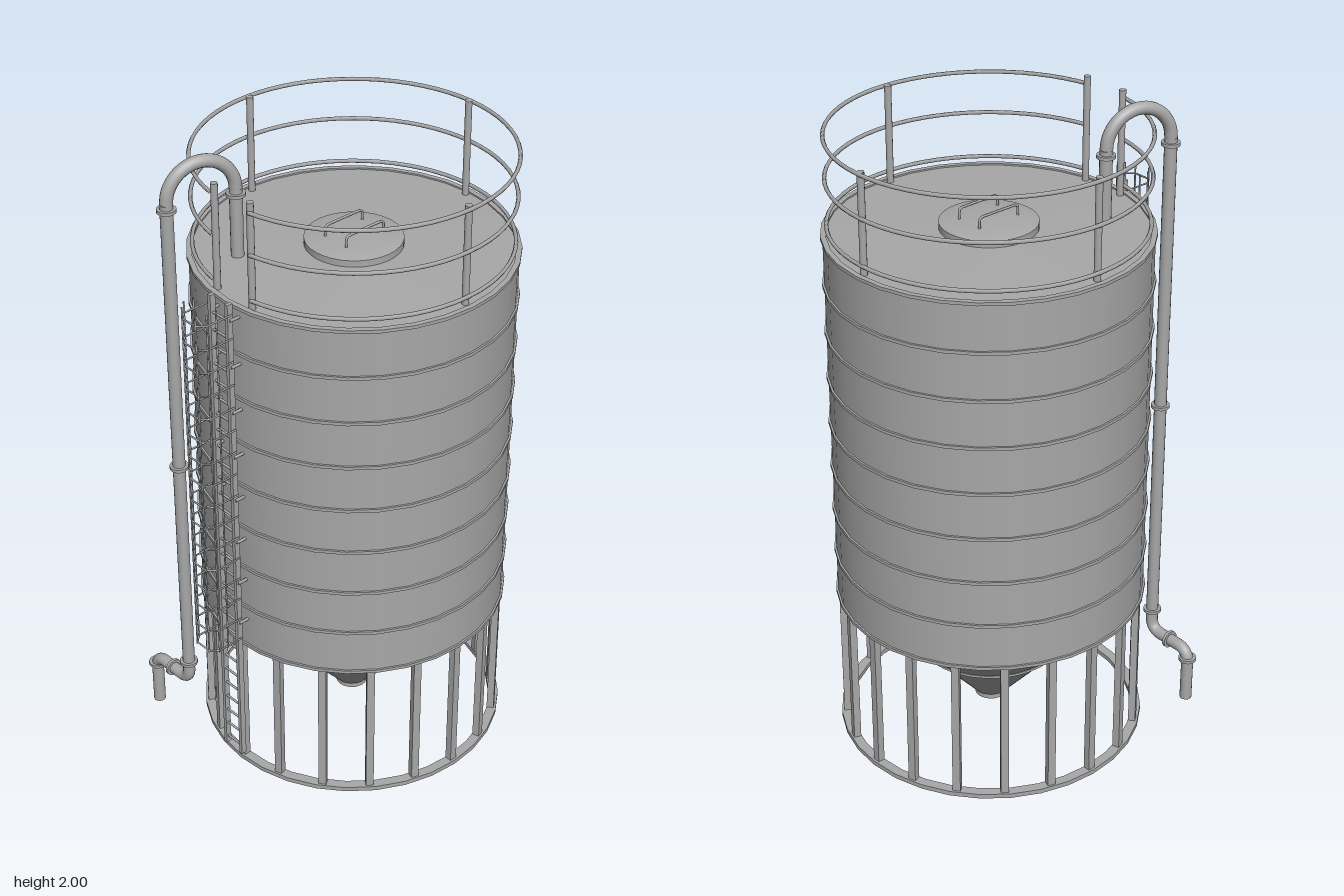
import * as THREE from 'three';

const CZ = -0.063; // tank axis
const R = 0.47;    // shell radius
const SIDES = 32;
const V = (x, y, z) => new THREE.Vector3(x, y, z);

export function createModel() {
  const model = new THREE.Group();
  const steel = new THREE.MeshStandardMaterial({ color: 0xa8a8a8 });
  steel.name = 'galvanised steel';

  const add = (name, geometry, parent = model) => {
    const mesh = new THREE.Mesh(geometry, steel);
    mesh.name = name;
    parent.add(mesh);
    return mesh;
  };
  const group = (name, z = 0) => {
    const g = new THREE.Group();
    g.name = name;
    g.position.z = z;
    model.add(g);
    return g;
  };
  const lathe = (pts, sides = SIDES) =>
    new THREE.LatheGeometry(pts.map(p => new THREE.Vector2(p[0], p[1])), sides);
  // Round bar between two points
  const rod = (name, a, b, r, parent, sides = 8) => {
    const mesh = add(name, new THREE.CylinderGeometry(r, r, a.distanceTo(b), sides), parent);
    mesh.position.copy(a).add(b).multiplyScalar(0.5);
    mesh.quaternion.setFromUnitVectors(V(0, 1, 0), b.clone().sub(a).normalize());
    return mesh;
  };
  // Horizontal hoop with a rectangular section
  const band = (name, y, inner, outer, h, parent) => add(name, lathe([
    [inner, y - h / 2], [outer, y - h / 2], [outer, y - h / 2], [outer, y + h / 2],
    [outer, y + h / 2], [inner, y + h / 2], [inner, y + h / 2], [inner, y - h / 2],
  ]), parent);

  // Tank: shell, shallow roof, hopper
  const tank = group('tank', CZ);
  add('shell', lathe([[R, 0.48], [R, 1.66]]), tank);
  add('roof', lathe([[R, 1.66], [0.14, 1.668], [0, 1.67]]), tank);
  add('shellBottomRim', lathe([[0.4, 0.482], [R, 0.482]]), tank);
  for (let i = 0; i <= 8; i++) {
    band('shellHoop', 0.48 + i * 0.1475, R - 0.01, R + 0.006, 0.01, tank);
  }
  add('hopperUpper', lathe([[0.225, 0.27], [0.432, 0.482]]), tank);
  add('hopperLower', lathe([[0.055, 0.075], [0.225, 0.27]]), tank);
  band('hopperSeam', 0.27, 0.215, 0.231, 0.008, tank);
  const outlet = add('hopperOutlet', new THREE.CylinderGeometry(0.05, 0.05, 0.03, 24), tank);
  outlet.position.y = 0.07;

  // Support frame: twenty legs on a base ring
  const frame = group('supportFrame', CZ);
  band('baseRing', 0.0075, 0.445, 0.475, 0.015, frame);
  for (let i = 0; i < 20; i++) {
    const a = i * Math.PI / 10;
    const leg = add('leg', new THREE.BoxGeometry(0.024, 0.475, 0.022), frame);
    leg.position.set(Math.sin(a) * 0.456, 0.2425, Math.cos(a) * 0.456);
    leg.rotation.y = a;
  }

  // Roof hatch with two grab handles
  const hatch = group('hatch', CZ);
  add('hatchSide', lathe([[0.143, 1.66], [0.143, 1.688]]), hatch);
  add('hatchLid', lathe([[0.143, 1.688], [0.12, 1.694], [0.07, 1.699], [0, 1.701]]), hatch);
  for (const x of [-0.042, 0.045]) {
    const path = new THREE.CatmullRomCurve3([
      V(x, 1.69, 0.071), V(x, 1.72, 0.071), V(x, 1.73, 0.061),
      V(x, 1.73, -0.061), V(x, 1.72, -0.071), V(x, 1.69, -0.071),
    ], false, 'catmullrom', 0.2);
    add('hatchHandle', new THREE.TubeGeometry(path, 30, 0.004, 6), hatch);
  }

  // Guard rail, open at the ladder
  const guard = group('guardRail', CZ);
  const gap = 0.166;
  for (const y of [1.69, 1.83, 1.957]) {
    const rail = add('rail',
      new THREE.TorusGeometry(0.457, 0.006, 6, 64, Math.PI * 2 - 2 * gap), guard);
    rail.rotation.set(Math.PI / 2, 0, Math.PI / 2 + gap);
    rail.position.y = y;
  }
  for (const a of [gap, Math.PI / 2, Math.PI, -Math.PI / 2, -gap]) {
    const x = Math.sin(a) * 0.443, z = Math.cos(a) * 0.448;
    const top = Math.abs(a) === gap ? 1.985 : 1.962;
    rod('railPost', V(x, 1.655, z), V(x, top, z), 0.0105, guard, 12);
  }

  // Ladder
  const ladder = group('ladder');
  for (const s of [-1, 1]) {
    const rail = add('ladderRail', new THREE.BoxGeometry(0.012, 1.62, 0.018), ladder);
    rail.position.set(s * 0.036, 0.87, 0.432);
    for (let i = 0; i < 8; i++) {
      const y = 0.58 + i * 0.15;
      rod('ladderBracket', V(s * 0.043, y, 0.395), V(s * 0.043, y, 0.435), 0.005, ladder, 6);
    }
  }
  for (let y = 0.085; y < 1.67; y += 0.055) {
    rod('rung', V(-0.036, y, 0.432), V(0.036, y, 0.432), 0.004, ladder, 6);
  }

  // Safety cage around the upper ladder
  const cage = group('safetyCage');
  const outline = [[-0.048, 0.43], [-0.048, 0.485], [-0.048, 0.518], [-0.028, 0.541],
    [0.028, 0.541], [0.048, 0.518], [0.048, 0.485], [0.048, 0.43]];
  outline.forEach(([x, z], i) => {
    if (i > 0 && i < 7) rod('cageBar', V(x, 0.52, z), V(x, 1.685, z), 0.0028, cage, 6);
  });
  for (let k = 0; k < 16; k++) {
    const y = 0.525 + k * 0.075;
    for (let i = 0; i < 7; i++) {
      const [a, b] = [outline[i], outline[i + 1]];
      rod('cageHoop', V(a[0], y, a[1]), V(b[0], y, b[1]), 0.0028, cage, 6);
    }
  }

  // Filling pipe: foot, offset, riser and gooseneck into the roof
  const pipe = group('fillPipe');
  const PR = 0.019, PX = -0.227, PZ = 0.424, FX = -0.39, EX = -0.173, EZ = 0.222;
  const straight = (a, b) => rod('pipeStraight', a, b, PR, pipe, 16);
  const elbow = (a, corner, b) => add('pipeElbow',
    new THREE.TubeGeometry(new THREE.QuadraticBezierCurve3(a, corner, b), 12, PR, 16), pipe);
  const flange = (p, dir) => {
    const d = dir.clone().multiplyScalar(0.005);
    rod('pipeFlange', p.clone().sub(d), p.clone().add(d), 0.028, pipe, 20);
  };
  const up = V(0, 1, 0);
  straight(V(FX, 0.005, PZ), V(FX, 0.14, PZ));
  elbow(V(FX, 0.14, PZ), V(FX, 0.185, PZ), V(FX + 0.045, 0.185, PZ));
  straight(V(FX + 0.045, 0.185, PZ), V(PX - 0.045, 0.185, PZ));
  elbow(V(PX - 0.045, 0.185, PZ), V(PX, 0.185, PZ), V(PX, 0.23, PZ));
  straight(V(PX, 0.23, PZ), V(PX, 1.875, PZ));
  straight(V(EX, 1.655, EZ), V(EX, 1.875, EZ));
  const arc = [];
  for (let i = 0; i <= 12; i++) {
    const a = i / 12 * Math.PI, t = (1 - Math.cos(a)) / 2;
    arc.push(V(PX + (EX - PX) * t, 1.875 + 0.106 * Math.sin(a), PZ + (EZ - PZ) * t));
  }
  add('pipeGooseneck',
    new THREE.TubeGeometry(new THREE.CatmullRomCurve3(arc), 32, PR, 16), pipe);
  flange(V(FX, 0.155, PZ), up);
  flange(V(-0.308, 0.185, PZ), V(1, 0, 0));
  for (const y of [0.26, 1.005, 1.857]) flange(V(PX, y, PZ), up);
  flange(V(EX, 1.857, EZ), up);

  return model;
}
